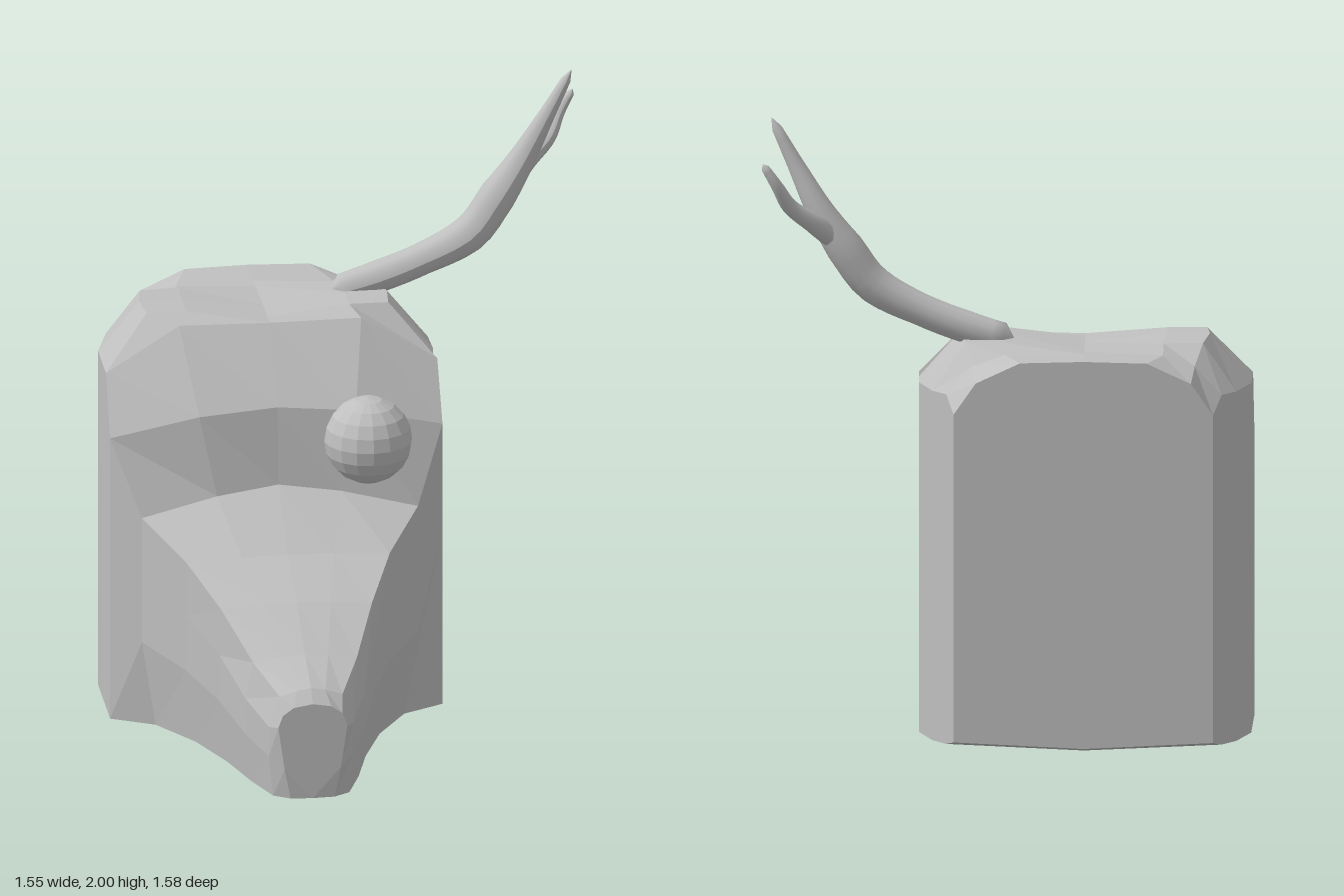
import * as THREE from 'three';

const CX = -0.25; // mirror plane of the head

// Each entry is half a cross-section, from the underside centre up to the crown centre.
function snoutRing(z, w, bottom, cornerW, cornerY, crownY, crownZ = z) {
  const h = cornerY - bottom;
  return [
    [0, bottom - 0.01, z], [w * 0.9, bottom, z], [w, bottom + h * 0.4, z], [w, bottom + h * 0.7, z],
    [cornerW, cornerY, z], [cornerW * 0.45, cornerY + (crownY - cornerY) * 0.7, (z + crownZ) / 2], [0, crownY, crownZ],
  ];
}
function skullRing(z, w, bottom, shoulderY, corner, inner, crown) {
  return [[0, bottom - 0.02, z], [w, bottom, z], [w, 0.6, z], [w, shoulderY, z], corner, inner, [0, ...crown]];
}

// Join mirrored half sections into a closed, faceted skin.
function loft(halves) {
  const pos = [], idx = [];
  const n = (halves[0].length - 1) * 2;
  for (const half of halves) {
    const mirrored = half.slice(1, -1).reverse().map(([x, y, z]) => [-x, y, z]);
    for (const [x, y, z] of [...half, ...mirrored]) pos.push(x + CX, y, z);
  }
  for (let i = 0; i < halves.length - 1; i++) {
    for (let j = 0; j < n; j++) {
      const a = i * n + j, b = i * n + (j + 1) % n, c = b + n, d = a + n;
      idx.push(a, d, c, a, c, b);
    }
  }
  const last = (halves.length - 1) * n;
  for (let j = 1; j < n - 1; j++) {
    idx.push(0, j, j + 1);
    idx.push(last, last + j + 1, last + j);
  }
  const g = new THREE.BufferGeometry();
  g.setAttribute('position', new THREE.Float32BufferAttribute(pos, 3));
  g.setIndex(idx);
  const flat = g.toNonIndexed();
  flat.computeVertexNormals();
  return flat;
}

// Tube along a curve whose radius follows a list of values, closed at the ends.
function taperedTube(points, radii) {
  const curve = new THREE.CatmullRomCurve3(points.map(p => new THREE.Vector3(...p)));
  const segs = 28, sides = 12;
  const g = new THREE.TubeGeometry(curve, segs, 1, sides);
  const p = g.attributes.position, v = new THREE.Vector3();
  for (let i = 0; i <= segs; i++) {
    const t = i / segs, c = curve.getPointAt(t);
    const f = t * (radii.length - 1), k = Math.min(Math.floor(f), radii.length - 2);
    let r = THREE.MathUtils.lerp(radii[k], radii[k + 1], f - k);
    if (i === 0 || i === segs) r = 0.001;
    for (let j = 0; j <= sides; j++) {
      const q = i * (sides + 1) + j;
      v.fromBufferAttribute(p, q).sub(c).multiplyScalar(r).add(c);
      p.setXYZ(q, v.x, v.y, v.z);
    }
  }
  g.computeVertexNormals();
  return g;
}

export function createModel() {
  const model = new THREE.Group();
  const grey = new THREE.MeshStandardMaterial({ color: 0xbfbfbf });
  grey.name = 'plain grey';
  const add = (name, geometry) => {
    const mesh = new THREE.Mesh(geometry, grey);
    mesh.name = name;
    model.add(mesh);
    return mesh;
  };

  // Head: snout sections, then brow, crown and the flat cut neck
  add('head', loft([
    [[0, 0.04, 0.79], [0.07, 0.04, 0.785], [0.09, 0.14, 0.79], [0.11, 0.28, 0.79],
      [0.095, 0.32, 0.79], [0.06, 0.345, 0.79], [0, 0.355, 0.79]],
    snoutRing(0.75, 0.135, 0.04, 0.1, 0.37, 0.395),
    snoutRing(0.6, 0.19, 0.038, 0.165, 0.435, 0.455),
    snoutRing(0.4, 0.245, 0.034, 0.24, 0.545, 0.56),
    snoutRing(0.19, 0.325, 0.03, 0.325, 0.635, 0.645),
    snoutRing(0, 0.44, 0.025, 0.44, 0.72, 0.8, -0.035),
    skullRing(-0.09, 0.53, 0.02, 0.78, [0.53, 0.96, -0.09], [0.25, 1.03, -0.055], [1.05, -0.06]),
    skullRing(-0.2, 0.528, 0.02, 0.96, [0.528, 1.14, -0.2], [0.29, 1.275, -0.235], [1.27, -0.24]),
    skullRing(-0.3, 0.527, 0.02, 1.14, [0.385, 1.3, -0.3], [0.26, 1.3, -0.3], [1.27, -0.3]),
    skullRing(-0.41, 0.525, 0.02, 1.14, [0.395, 1.3, -0.41], [0.26, 1.3, -0.41], [1.27, -0.41]),
    skullRing(-0.57, 0.48, 0.02, 1.14, [0.375, 1.29, -0.54], [0.25, 1.29, -0.55], [1.27, -0.59]),
    skullRing(-0.64, 0.435, 0.02, 1.14, [0.35, 1.23, -0.63], [0.25, 1.265, -0.63], [1.27, -0.64]),
    skullRing(-0.79, 0.41, 0.05, 1.1, [0.34, 1.2, -0.79], [0.2, 1.265, -0.79], [1.27, -0.79]),
  ]));

  // Single faceted eye on the left brow
  const eye = add('eye', (() => {
    const g = new THREE.SphereGeometry(0.14, 16, 10).toNonIndexed();
    g.computeVertexNormals();
    return g;
  })());
  eye.position.set(0.035, 0.94, -0.03);

  // Single forked antler
  add('antlerBeam', taperedTube(
    [[-0.03, 1.285, -0.467], [0.1, 1.32, -0.467], [0.25, 1.375, -0.465], [0.42, 1.465, -0.462],
      [0.5, 1.57, -0.472], [0.58, 1.69, -0.478], [0.66, 1.84, -0.467], [0.74, 1.995, -0.46]],
    [0.045, 0.052, 0.052, 0.06, 0.06, 0.042, 0.026, 0.013]));
  add('antlerTine', taperedTube(
    [[0.53, 1.6, -0.475], [0.6, 1.665, -0.53], [0.68, 1.73, -0.575], [0.72, 1.8, -0.61], [0.765, 1.872, -0.62]],
    [0.035, 0.034, 0.027, 0.02, 0.012]));

  return model;
}
